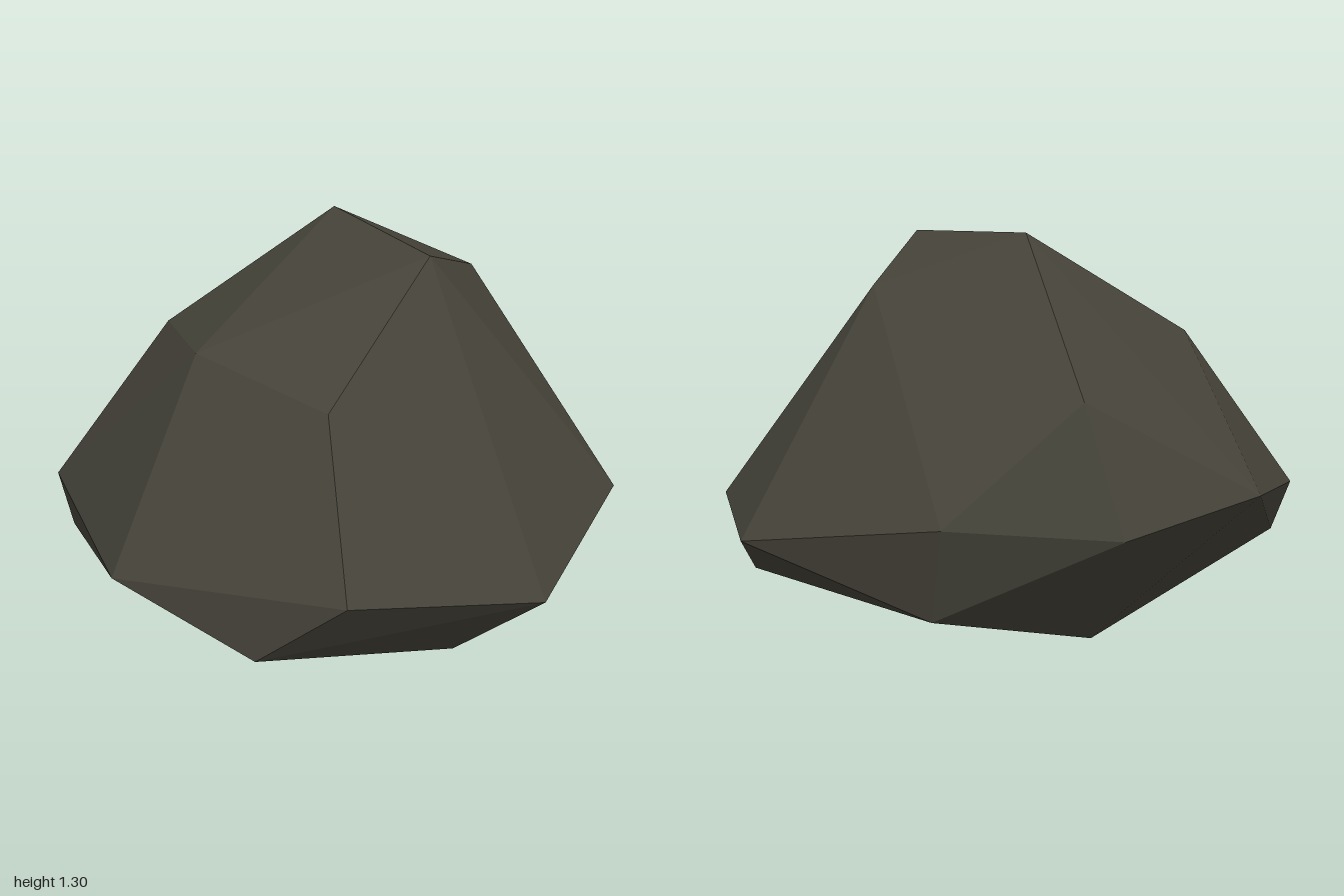
import * as THREE from 'three';
import { ConvexGeometry } from 'three/addons/geometries/ConvexGeometry.js';

// Corner rings of the faceted boulder, from the ground up
const base = [[0.65, 0, 0.12], [-0.31, 0.01, 0.52], [-0.5, 0, -0.35]];
const underside = [
  [0.38, 0.18, 0.82], [-0.74, 0.2, 0.57], [-0.26, 0.165, -0.91], [0.62, 0.155, -0.7],
];
const girdle = [
  [-0.11, 0.365, 0.96], [0.67, 0.43, 0.72], [1, 0.31, 0.12], [0.81, 0.385, -0.63],
  [0.44, 0.335, -0.97], [-0.33, 0.47, -0.96], [-0.78, 0.43, -0.65], [-1, 0.5, -0.16],
  [-0.81, 0.385, 0.57],
];
const shoulder = [
  [-0.1, 1.02, 0.55], [0.43, 0.94, 0.52], [-0.53, 0.95, 0.25], [-0.62, 0.83, -0.62],
];
const crown = [[-0.22, 1.305, -0.3], [0.36, 1.285, -0.09], [0.24, 1.13, -0.51]];

export function createModel() {
  const group = new THREE.Group();
  group.name = 'rock';

  const stone = new THREE.MeshStandardMaterial({ color: 0x454339 });
  stone.name = 'dark stone';

  // The hull gives every facet its own flat normal
  const corners = [base, underside, girdle, shoulder, crown]
    .flat()
    .map((p) => new THREE.Vector3(...p));
  const boulder = new THREE.Mesh(new ConvexGeometry(corners), stone);
  boulder.name = 'boulder';
  group.add(boulder);

  return group;
}
